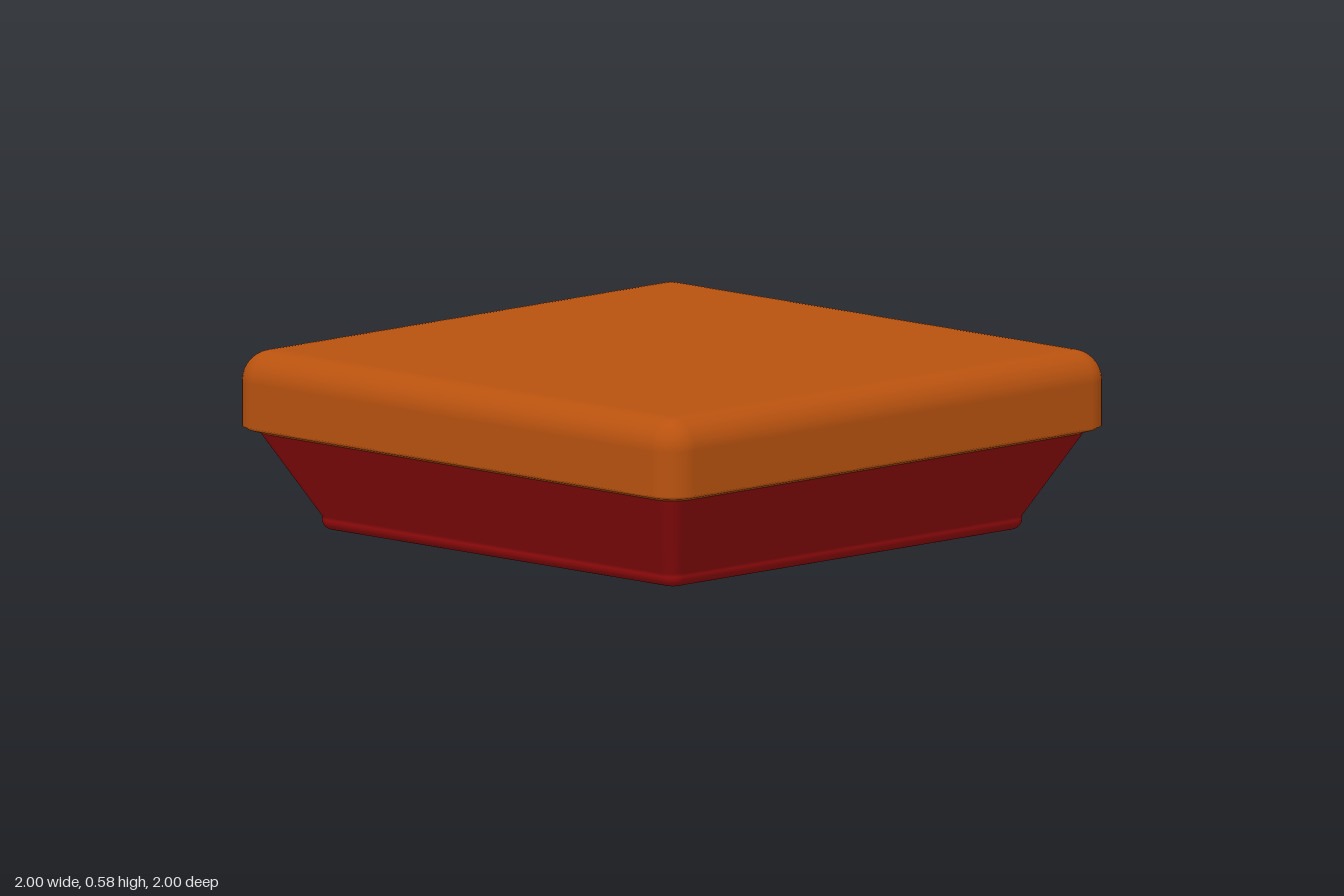
import * as THREE from 'three';

const CORNER_STEPS = 8;

// Lofts rounded squares stacked along a profile, bottom to top.
// Each entry: [half width, y, corner radius, normal elevation in degrees].
function roundedSquareLoft(profile) {
  const pos = [], nor = [], index = [];
  const ring = 4 * (CORNER_STEPS + 1);
  for (const [half, y, r, elevation] of profile) {
    const e = THREE.MathUtils.degToRad(elevation);
    for (let corner = 0; corner < 4; corner++) {
      const mid = (corner + 0.5) * Math.PI / 2;
      const cx = Math.sign(Math.cos(mid)) * (half - r);
      const cz = Math.sign(Math.sin(mid)) * (half - r);
      for (let s = 0; s <= CORNER_STEPS; s++) {
        const a = (corner + s / CORNER_STEPS) * Math.PI / 2;
        pos.push(cx + r * Math.cos(a), y, cz + r * Math.sin(a));
        nor.push(Math.cos(a) * Math.cos(e), Math.sin(e), Math.sin(a) * Math.cos(e));
      }
    }
  }
  for (let i = 0; i < profile.length - 1; i++) {
    for (let j = 0; j < ring; j++) {
      const a = i * ring + j, b = i * ring + (j + 1) % ring;
      index.push(a, a + ring, b, b, a + ring, b + ring);
    }
  }
  const geometry = new THREE.BufferGeometry();
  geometry.setAttribute('position', new THREE.Float32BufferAttribute(pos, 3));
  geometry.setAttribute('normal', new THREE.Float32BufferAttribute(nor, 3));
  geometry.setIndex(index);
  return geometry;
}

// Quarter-round edge of a profile; the corner radius shrinks or grows with it.
function roundEdge(half, y, radius, corner, from, to) {
  return Array.from({ length: 9 }, (_, i) => {
    const deg = from + (to - from) * i / 8;
    const a = THREE.MathUtils.degToRad(deg);
    const inset = radius * (1 - Math.cos(a));
    return [half - inset, y + radius * Math.sin(a), corner - inset, deg];
  });
}

function addPart(group, name, profile, color) {
  const mesh = new THREE.Mesh(
    roundedSquareLoft(profile),
    new THREE.MeshStandardMaterial({ color })
  );
  mesh.name = name;
  group.add(mesh);
}

export function createModel() {
  const group = new THREE.Group();
  group.name = 'squareCushionedBlock';

  // Tapered base with a small rounded foot
  addPart(group, 'taperedBase', [
    [0, 0, 0, -90],
    ...roundEdge(0.805, 0.035, 0.035, 0.05, -90, 0),
    [0.805, 0.045, 0.05, -28],
    [0.95, 0.32, 0.06, -28],
    [0.95, 0.32, 0.06, 90],
    [0, 0.32, 0, 90],
  ], 0x990b0d);

  // Thick slab with a bevelled underside and rounded top edge
  addPart(group, 'topSlab', [
    [0, 0.313, 0, -90],
    [0.945, 0.313, 0.07, -90],
    [0.945, 0.313, 0.07, -68],
    [0.985, 0.327, 0.09, -68],
    [1, 0.337, 0.1, 0],
    ...roundEdge(1, 0.482, 0.1, 0.1, 0, 90),
    [0, 0.582, 0, 90],
  ], 0xb9520f);

  return group;
}
